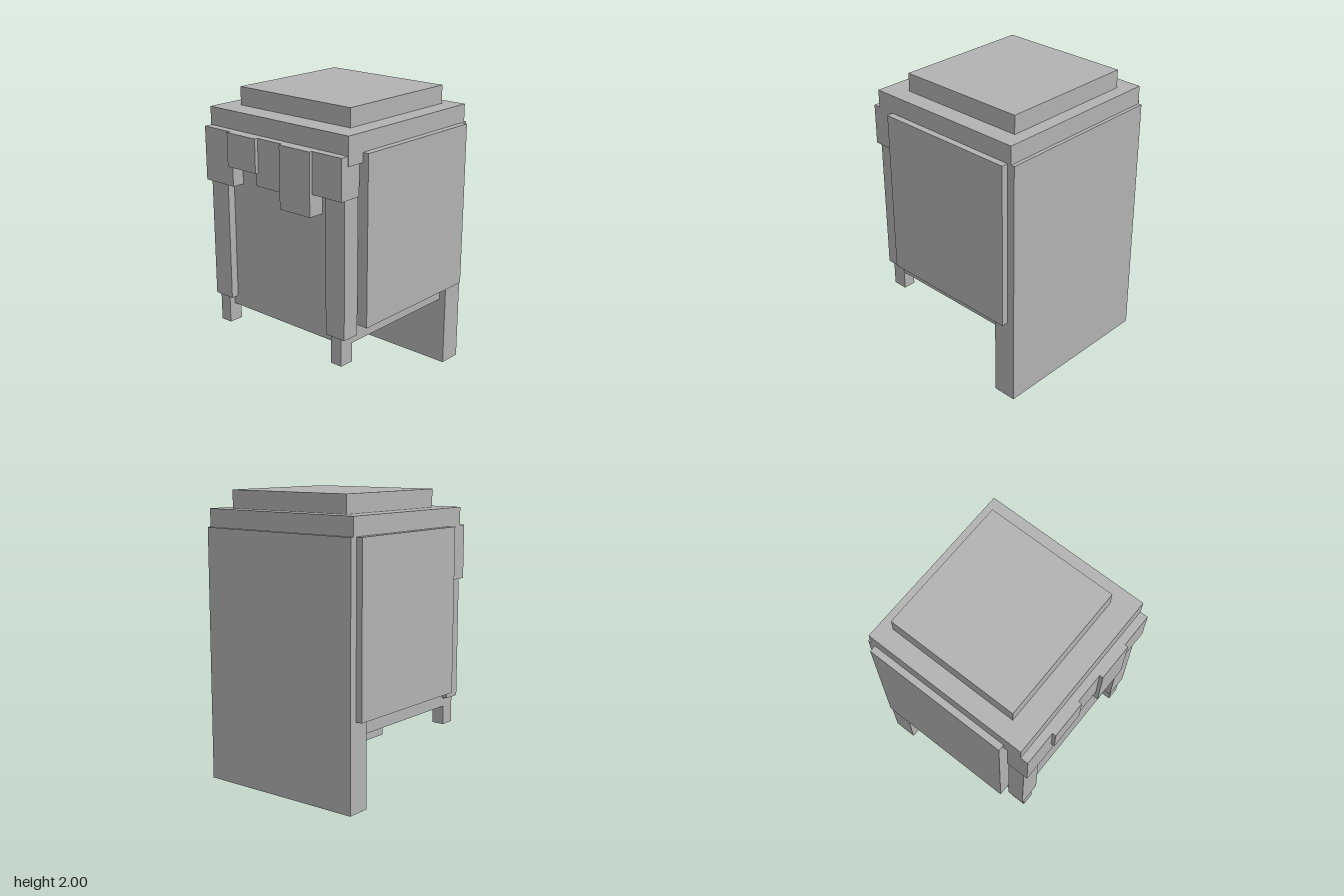
import * as THREE from 'three';

export function createModel() {
  const group = new THREE.Group();
  group.name = 'blockFigure';
  const grey = new THREE.MeshStandardMaterial({ color: 0xb2b2b2 });
  grey.name = 'plain grey';

  // box given by its extents along each axis
  const box = (name, [x0, x1], [y0, y1], [z0, z1]) => {
    const mesh = new THREE.Mesh(new THREE.BoxGeometry(x1 - x0, y1 - y0, z1 - z0), grey);
    mesh.position.set((x0 + x1) / 2, (y0 + y1) / 2, (z0 + z1) / 2);
    mesh.name = name;
    group.add(mesh);
  };

  // main body with stepped top and small block underneath
  box('body', [-0.56, 0.56], [0.48, 1.7], [-0.49, 0.53]);
  box('topSlab', [-0.61, 0.61], [1.685, 1.875], [-0.62, 0.565]);
  box('topCap', [-0.485, 0.485], [1.875, 2], [-0.53, 0.405]);
  box('underBlock', [-0.235, 0.235], [0.275, 0.48], [-0.235, 0.2]);

  // tall board at the back, reaching the ground
  box('backBoard', [-0.61, 0.61], [0, 1.75], [-0.645, -0.48]);

  // side panels, front posts and their feet
  for (const [side, s] of [['left', 1], ['right', -1]]) {
    const span = (a, b) => (s > 0 ? [a, b] : [-b, -a]);
    box(side + 'SidePanel', span(0.55, 0.655), [0.6, 1.75], [-0.59, 0.435]);
    box(side + 'FrontPost', span(0.44, 0.597), [0.545, 1.7], [0.46, 0.585]);
    box(side + 'Foot', span(0.475, 0.563), [0.35, 0.56], [0.47, 0.575]);
  }

  // uneven row of flaps along the top front: x from, x to, bottom, front
  const flaps = [
    [-0.61, -0.35, 1.38, 0.62],
    [-0.37, -0.11, 1.52, 0.645],
    [-0.13, 0.11, 1.43, 0.62],
    [0.105, 0.365, 1.33, 0.645],
    [0.36, 0.605, 1.475, 0.622],
  ];
  flaps.forEach(([x0, x1, y0, z1], i) => box('frontFlap' + (i + 1), [x0, x1], [y0, 1.75], [0.46, z1]));

  return group;
}
